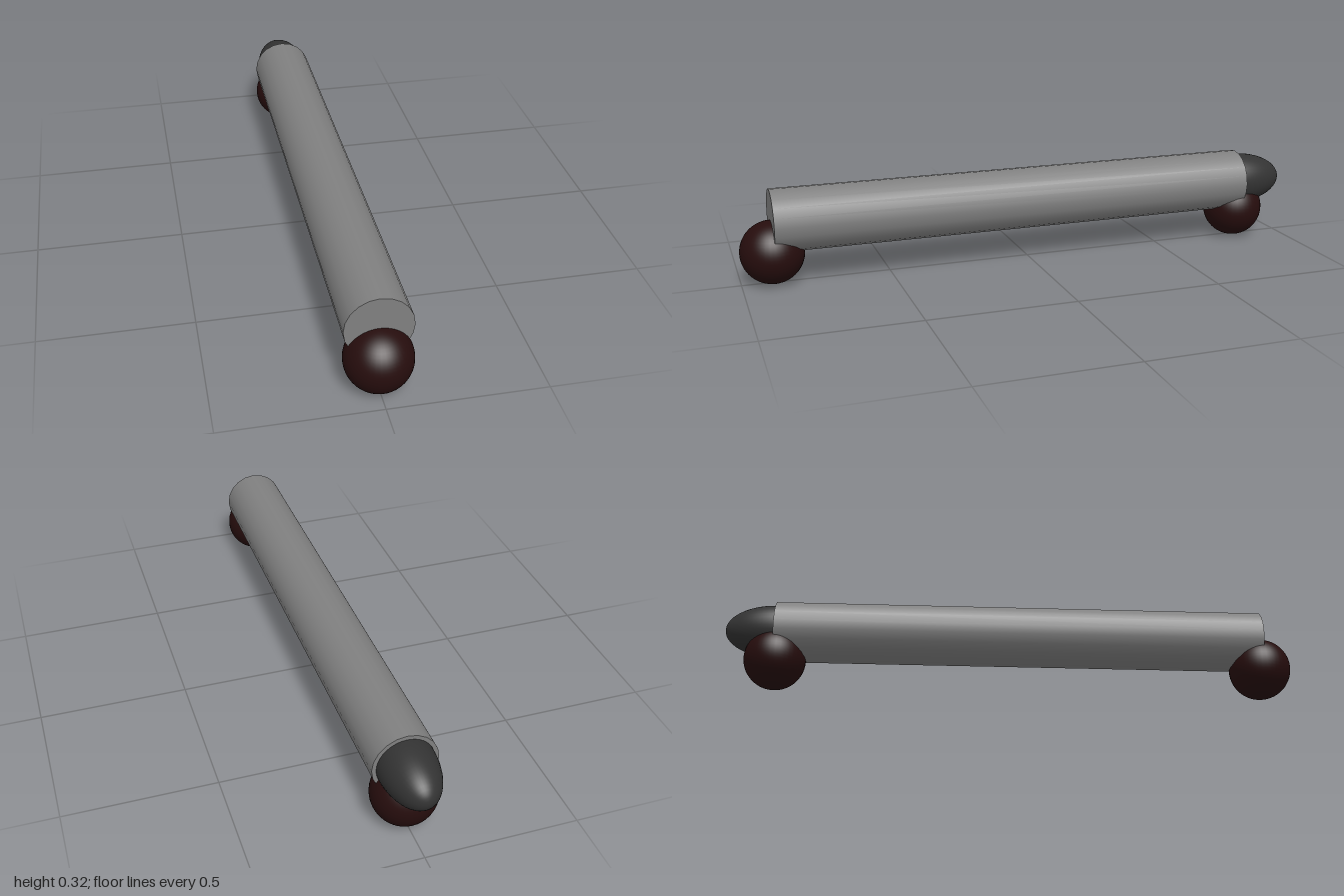
import * as THREE from 'three';

const R = 0.107;        // shared radius of tube and balls
const FRONT = 0.893;    // tube end facing +z
const BACK = -0.82;     // tube end facing -z

const material = (name, color) => {
  const m = new THREE.MeshStandardMaterial({ color });
  m.name = name;
  return m;
};

export function createModel() {
  const group = new THREE.Group();
  group.name = 'model';
  const grey = material('mid grey', 0x808080);
  const charcoal = material('charcoal', 0x333333);
  const maroon = material('dark maroon', 0x260d0d);

  const add = (name, geometry, mat, y, z) => {
    const mesh = new THREE.Mesh(geometry, mat);
    mesh.name = name;
    mesh.position.set(0, y, z);
    group.add(mesh);
    return mesh;
  };

  // Long capped tube lying along z
  const tube = new THREE.CylinderGeometry(R, R, FRONT - BACK, 20).rotateX(Math.PI / 2);
  add('body', tube, grey, 2 * R, (FRONT + BACK) / 2);

  // Ball under each end of the tube
  const ball = new THREE.SphereGeometry(R, 40, 28);
  add('frontBall', ball, maroon, R, FRONT);
  add('backBall', ball, maroon, R, BACK);

  // Stretched rounded tip at the back end
  const tip = new THREE.SphereGeometry(1, 40, 28).rotateX(Math.PI / 2);
  add('tip', tip, charcoal, 2 * R, BACK).scale.set(0.093, 0.093, 0.18);

  return group;
}
